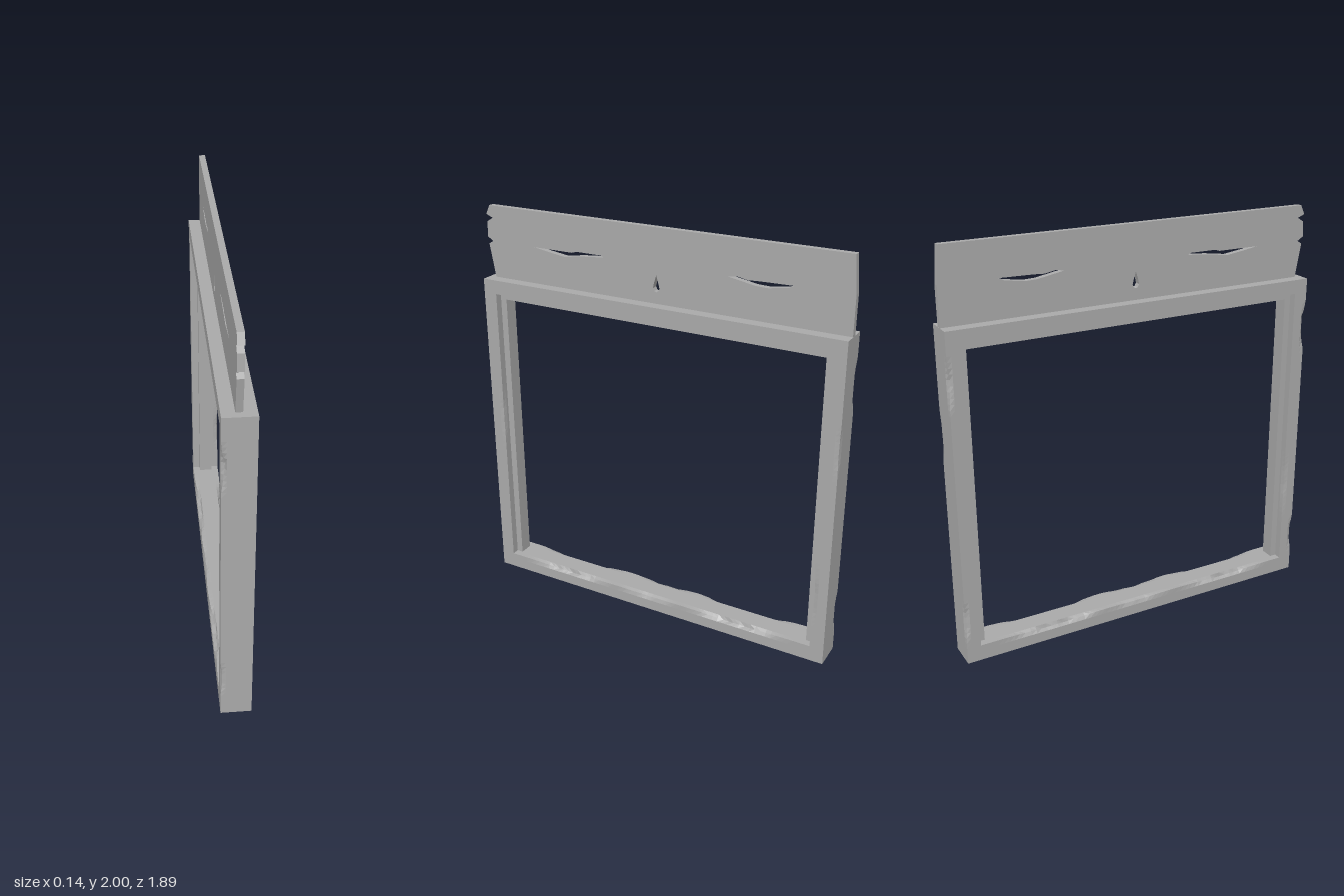
import * as THREE from 'three';

const DEPTH = 0.145, HALF = 0.945, POST = 0.07, TOP = 1.645, SILL = 0.08;

export function createModel() {
  const group = new THREE.Group();
  const grey = new THREE.MeshStandardMaterial({ color: 0xaaaaaa });
  grey.name = 'weathered grey';

  function add(name, geometry, x, y, z) {
    const mesh = new THREE.Mesh(geometry, grey);
    mesh.name = name;
    mesh.position.set(x, y, z);
    group.add(mesh);
  }

  // Beam along 'y' or 'z'. Each dent shaves one long edge:
  // [side in x, side across, centre along the beam, half length, depth]
  function wornBeam(width, length, axis, dents) {
    const along = axis, across = axis === 'y' ? 'z' : 'y';
    const g = axis === 'y'
      ? new THREE.BoxGeometry(DEPTH, length, width, 6, 60, 3)
      : new THREE.BoxGeometry(DEPTH, width, length, 6, 3, 60);
    const p = g.attributes.position, v = new THREE.Vector3();
    for (let i = 0; i < p.count; i++) {
      v.fromBufferAttribute(p, i);
      for (const [sx, sa, centre, half, depth] of dents) {
        const onEdge = v.x * sx > DEPTH / 2 - 0.001 && v[across] * sa > width / 2 - 0.001;
        const t = Math.abs(v[along] - centre) / half;
        if (!onEdge || t >= 1) continue;
        const cut = depth * (0.5 + 0.5 * Math.cos(Math.PI * t)) * (0.85 + 0.15 * Math.sin(v[along] * 55));
        v.x -= sx * cut;
        v[across] -= sa * cut;
      }
      p.setXYZ(i, v.x, v.y, v.z);
    }
    const flat = g.toNonIndexed();
    flat.computeVertexNormals();
    return flat;
  }

  // Posts, with chipped edges
  const postZ = HALF - POST / 2;
  add('frontPost', wornBeam(POST, TOP, 'y', [
    [-1, 1, 0.58, 0.14, 0.018], [-1, 1, -0.6, 0.12, 0.01],
    [1, -1, 0.1, 0.2, 0.005], [-1, -1, -0.3, 0.2, 0.005],
  ]), 0, TOP / 2, postZ);
  add('backPost', wornBeam(POST, TOP, 'y', [
    [-1, -1, 0.58, 0.14, 0.014], [-1, -1, -0.6, 0.12, 0.012],
    [1, 1, -0.45, 0.2, 0.006], [1, -1, 0.3, 0.15, 0.005],
  ]), 0, TOP / 2, -postZ);

  // Header and worn sill between the posts
  const inner = 2 * (HALF - POST);
  add('header', new THREE.BoxGeometry(DEPTH, POST, inner), 0, TOP - POST / 2, 0);
  const sillDents = [];
  for (const sx of [-1, 1]) {
    sillDents.push([sx, 1, 0.5, 0.3, 0.022], [sx, 1, -0.48, 0.32, 0.022], [sx, 1, 0.02 * sx, 0.22, 0.01]);
  }
  add('sill', wornBeam(SILL, inner, 'z', sillDents), 0, SILL / 2, 0);

  // Raised stop strips lining the opening
  const stop = 0.033, stopDepth = 0.07, stopTop = TOP - POST;
  for (const s of [-1, 1]) {
    add(s > 0 ? 'frontStop' : 'backStop',
      new THREE.BoxGeometry(stopDepth, stopTop - SILL, stop),
      0, (stopTop + SILL) / 2, s * (HALF - POST - stop / 2));
  }
  add('topStop', new THREE.BoxGeometry(stopDepth, stop, inner - 2 * stop), 0, stopTop - stop / 2, 0);

  // Splintered board standing on the header, outlined in (z, y)
  const points = (list) => list.map(([z, y]) => new THREE.Vector2(z, y));
  const board = new THREE.Shape(points([
    [0.91, 1.64], [-0.944, 1.64], [-0.944, 1.83], [-0.93, 2], [0.926, 2],
    [0.947, 1.955], [0.91, 1.94], [0.942, 1.92], [0.947, 1.845],
    [0.915, 1.825], [0.94, 1.81],
  ]));
  const holes = [
    // long splits
    [[0.67, 1.825], [0.455, 1.825], [0.43, 1.833], [0.295, 1.833], [0.28, 1.825],
      [0.39, 1.815], [0.5, 1.8], [0.59, 1.812]],
    [[-0.36, 1.825], [-0.4, 1.832], [-0.455, 1.822], [-0.51, 1.825], [-0.672, 1.828],
      [-0.645, 1.815], [-0.55, 1.8], [-0.49, 1.802]],
    // drop-shaped knot hole
    [[0, 1.78], [-0.012, 1.74], [-0.017, 1.718], [-0.01, 1.705], [0, 1.7],
      [0.01, 1.705], [0.017, 1.718], [0.012, 1.74]],
  ];
  for (const hole of holes) board.holes.push(new THREE.Path(points(hole)));
  const thickness = 0.03;
  const boardGeometry = new THREE.ExtrudeGeometry(board, { depth: thickness, bevelEnabled: false });
  boardGeometry.translate(0, 0, -thickness / 2).rotateY(-Math.PI / 2);
  add('signBoard', boardGeometry, 0, 0, 0);

  return group;
}
